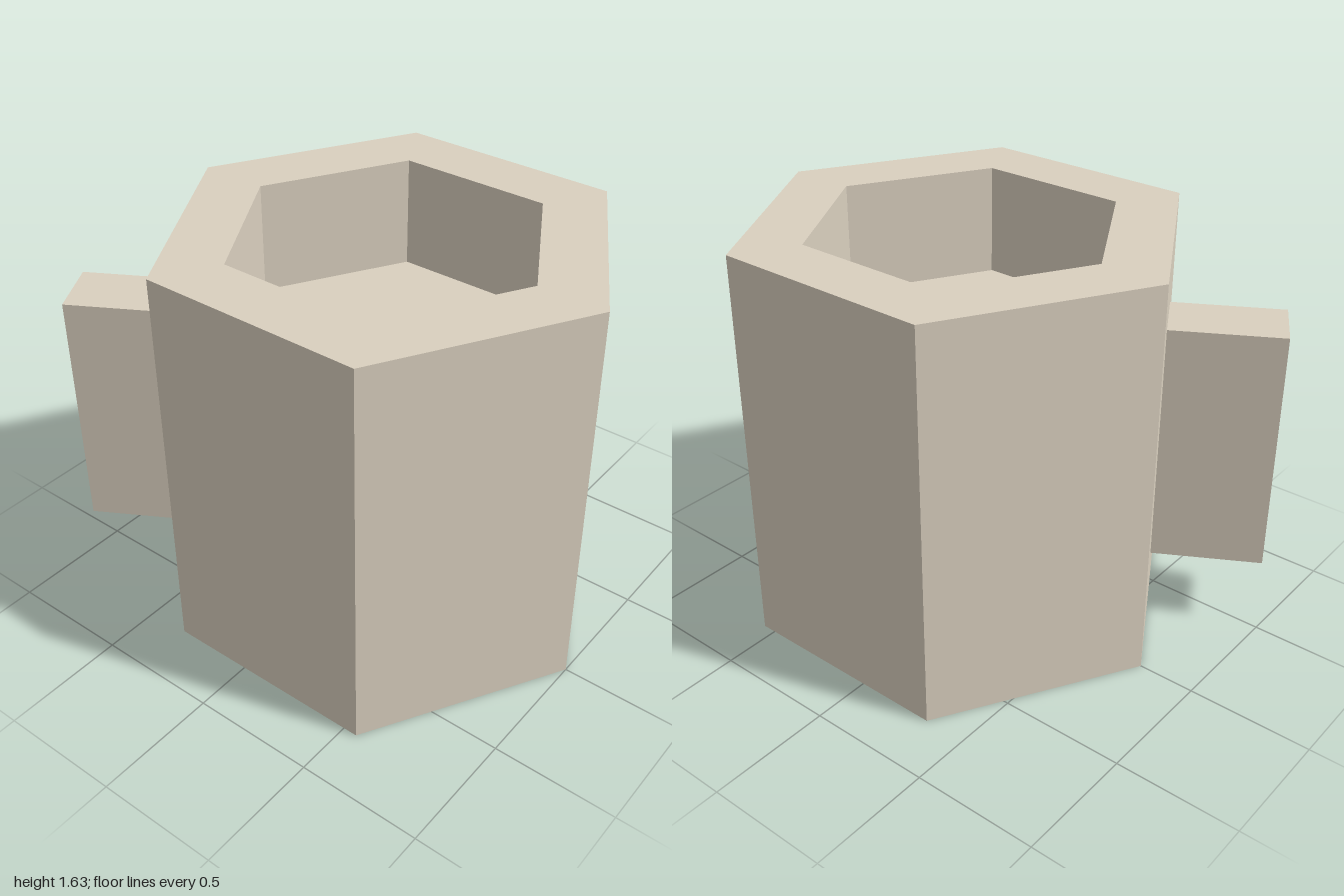
import * as THREE from 'three';

export function createModel() {
  const group = new THREE.Group();
  const clay = new THREE.MeshStandardMaterial({ color: 0xdad0bf, flatShading: true });
  clay.name = 'clay';

  // Hexagonal cup: outer wall, rim, inner wall and recessed floor in one profile
  const outer = 0.885, inner = 0.613, height = 1.63, floorY = 1.18;
  const profile = [
    [0, 0], [outer, 0], [outer, height], [inner, height], [inner, floorY], [0, floorY],
  ].map(([r, y]) => new THREE.Vector2(r, y));
  const cup = new THREE.Mesh(new THREE.LatheGeometry(profile, 6, Math.PI / 2), clay);
  cup.name = 'cup';
  cup.position.x = 0.115;
  group.add(cup);

  // Solid block handle, square to the front right face and sunk slightly into it
  const angle = Math.PI / 6, start = 0.75, end = 1.207;
  const handle = new THREE.Mesh(new THREE.BoxGeometry(end - start, 0.99, 0.25), clay);
  handle.name = 'handle';
  const reach = (start + end) / 2;
  handle.position.set(0.115 - reach * Math.cos(angle), 0.815, reach * Math.sin(angle));
  handle.rotation.y = angle;
  group.add(handle);

  return group;
}
